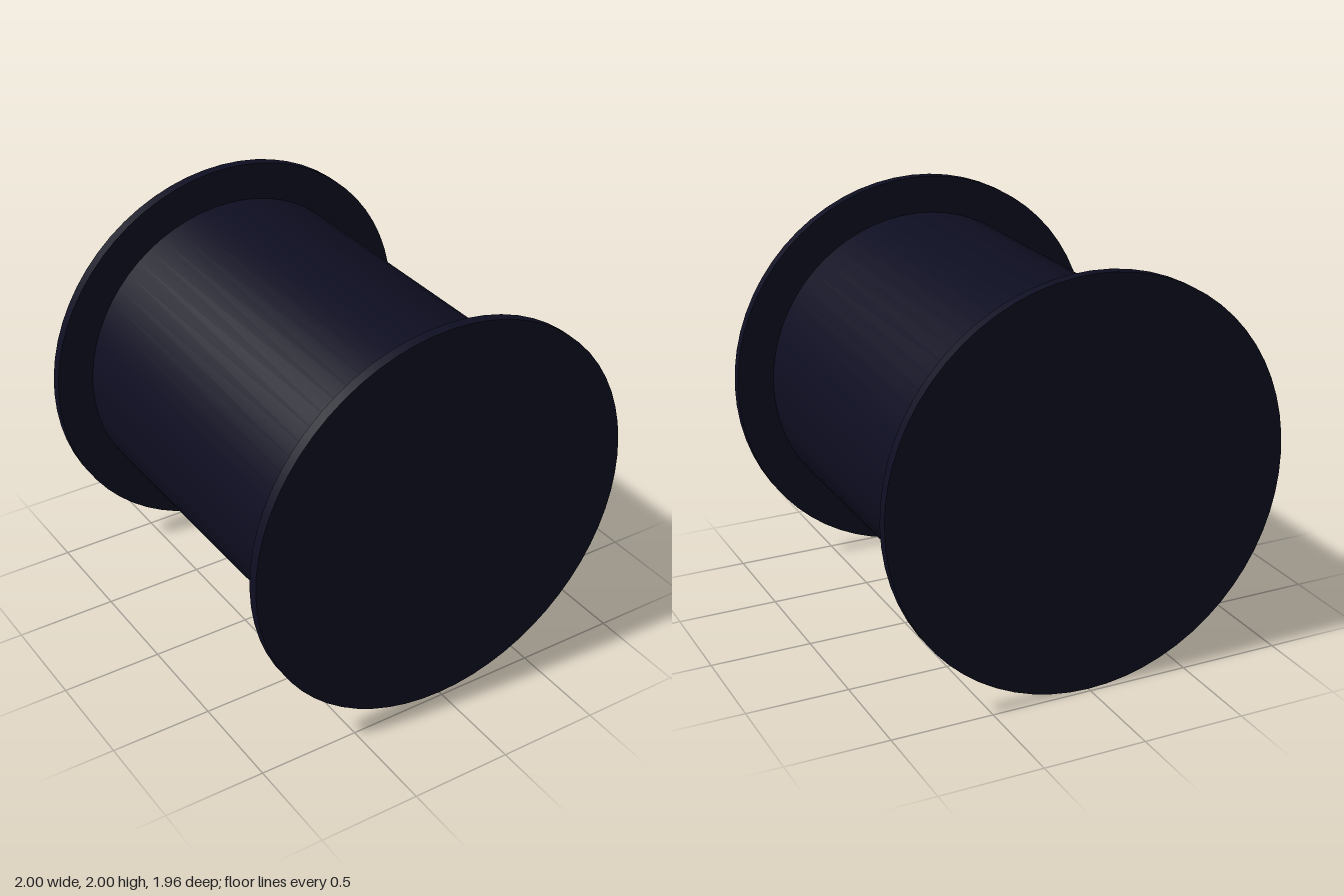
import * as THREE from 'three';

export function createModel() {
  const group = new THREE.Group();
  const navy = new THREE.MeshStandardMaterial({ color: 0x0e0e22 });
  navy.name = 'dark navy';

  // Discs and barrel all lie along the z axis, centred at y = 1
  function addDrum(name, radius, length, z) {
    const geometry = new THREE.CylinderGeometry(radius, radius, length, 64);
    geometry.rotateX(Math.PI / 2);
    const mesh = new THREE.Mesh(geometry, navy);
    mesh.name = name;
    mesh.position.set(0, 1, z);
    group.add(mesh);
  }

  // Central barrel between the flanges
  addDrum('barrel', 0.81, 1.86, 0);

  // Thin end flanges
  addDrum('frontFlange', 1, 0.052, 0.954);
  addDrum('backFlange', 1, 0.052, -0.954);

  return group;
}
